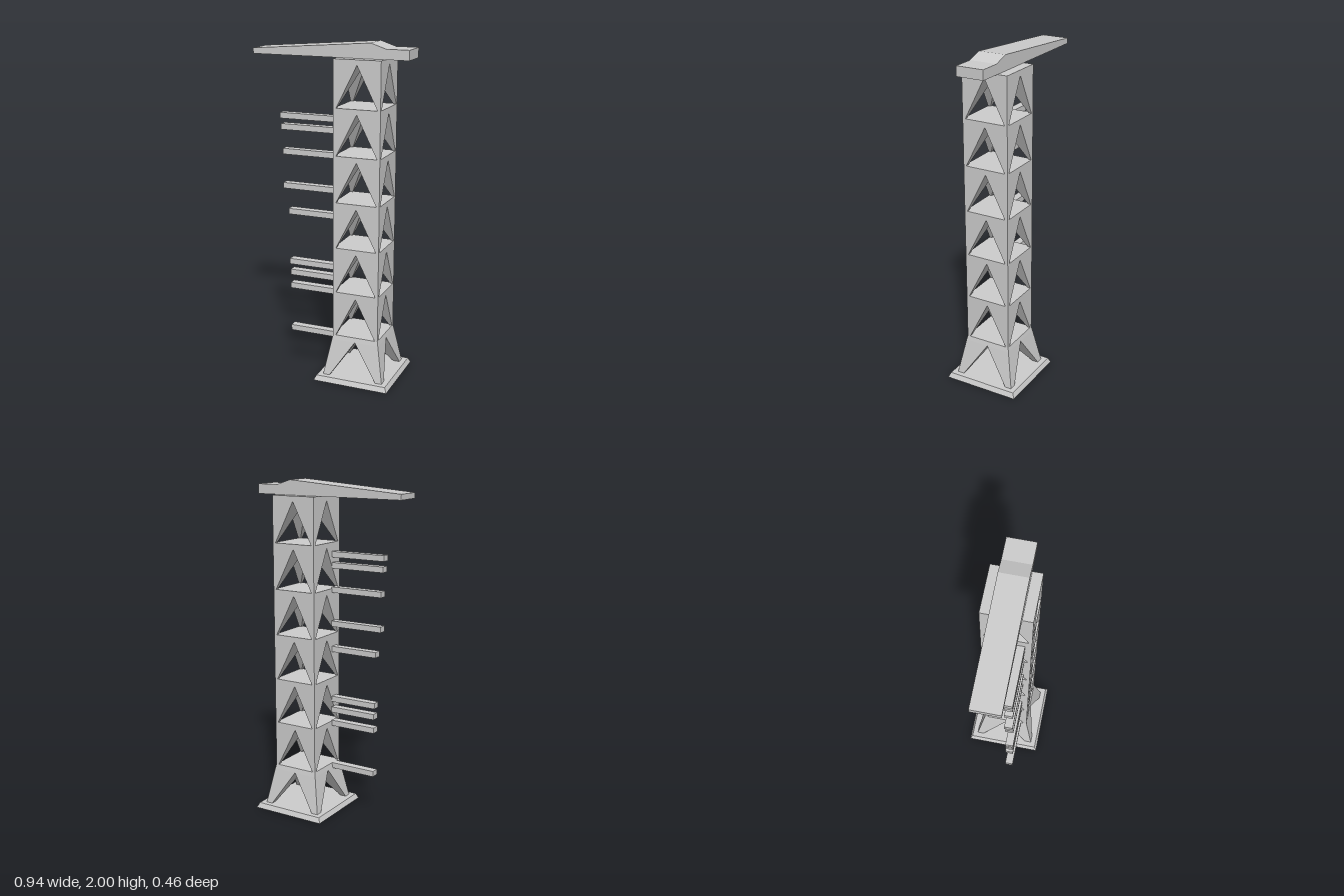
import * as THREE from 'three';

const material = new THREE.MeshStandardMaterial({ color: 0xcccccc, flatShading: true });

function addMesh(parent, name, geometry) {
  const mesh = new THREE.Mesh(geometry, material);
  mesh.name = name;
  parent.add(mesh);
  return mesh;
}

// Box whose bottom and top are rectangles given as [xMin, xMax, zMin, zMax]
function taperedBox(y0, y1, bottom, top) {
  const g = new THREE.BoxGeometry(1, 1, 1).toNonIndexed();
  const p = g.attributes.position;
  for (let i = 0; i < p.count; i++) {
    const up = p.getY(i) > 0;
    const r = up ? top : bottom;
    p.setXYZ(i, r[p.getX(i) > 0 ? 1 : 0], up ? y1 : y0, r[p.getZ(i) > 0 ? 3 : 2]);
  }
  g.computeVertexNormals();
  return g;
}

const square = (h) => [-h, h, -h, h];

// Square from inner to outer distance in the quadrant given by the signs
function cornerSquare(inner, outer, sx, sz) {
  const range = (s) => (s > 0 ? [inner, outer] : [-outer, -inner]);
  return [...range(sx), ...range(sz)];
}

// One storey: four corner posts leaving crossed triangular openings, closed by a slab
function createTier(name, y0, apex, y1, opening, wBottom, wApex, wTop) {
  const tier = new THREE.Group();
  tier.name = name;
  for (const sx of [-1, 1]) {
    for (const sz of [-1, 1]) {
      addMesh(tier, 'cornerPost', taperedBox(y0, apex,
        cornerSquare(opening, wBottom, sx, sz), cornerSquare(0, wApex, sx, sz)));
    }
  }
  addMesh(tier, 'floorSlab', taperedBox(apex, y1, square(wApex), square(wTop)));
  return tier;
}

export function createModel() {
  const model = new THREE.Group();
  model.name = 'latticeTower';

  // Tower shaft, set off to one side under the roof beam
  const tower = new THREE.Group();
  tower.name = 'tower';
  tower.position.x = 0.191;
  model.add(tower);
  addMesh(tower, 'basePlate', taperedBox(0, 0.03, square(0.231), square(0.217)));
  tower.add(createTier('splayedTier', 0.03, 0.247, 0.275, 0.145, 0.186, 0.146, 0.14));
  const tiers = 6;
  const step = (1.913 - 0.275) / tiers;
  for (let i = 0; i < tiers; i++) {
    const y = 0.275 + i * step;
    tower.add(createTier('tier', y, y + 0.243, y + step, 0.123, 0.14, 0.14, 0.14));
  }

  // Bars sticking out of one side: [centre height, outer end]
  const bars = [
    [1.57, -0.295], [1.505, -0.29], [1.36, -0.28], [1.155, -0.28], [1.0, -0.248],
    [0.688, -0.244], [0.62, -0.24], [0.535, -0.24], [0.26, -0.24],
  ];
  for (const [y, end] of bars) {
    const rect = [end, 0.054, 0.055, 0.103];
    addMesh(model, 'sideBar', taperedBox(y - 0.017, y + 0.017, rect, rect));
  }

  // Roof beam
  const profile = new THREE.Shape([
    [-0.47, 1.913], [0.47, 1.913], [0.47, 1.97], [0.338, 1.97],
    [0.248, 2.0], [-0.47, 1.945],
  ].map(([x, y]) => new THREE.Vector2(x, y)));
  const beam = addMesh(model, 'roofBeam',
    new THREE.ExtrudeGeometry(profile, { depth: 0.163, bevelEnabled: false }));
  beam.position.z = -0.082;

  return model;
}
